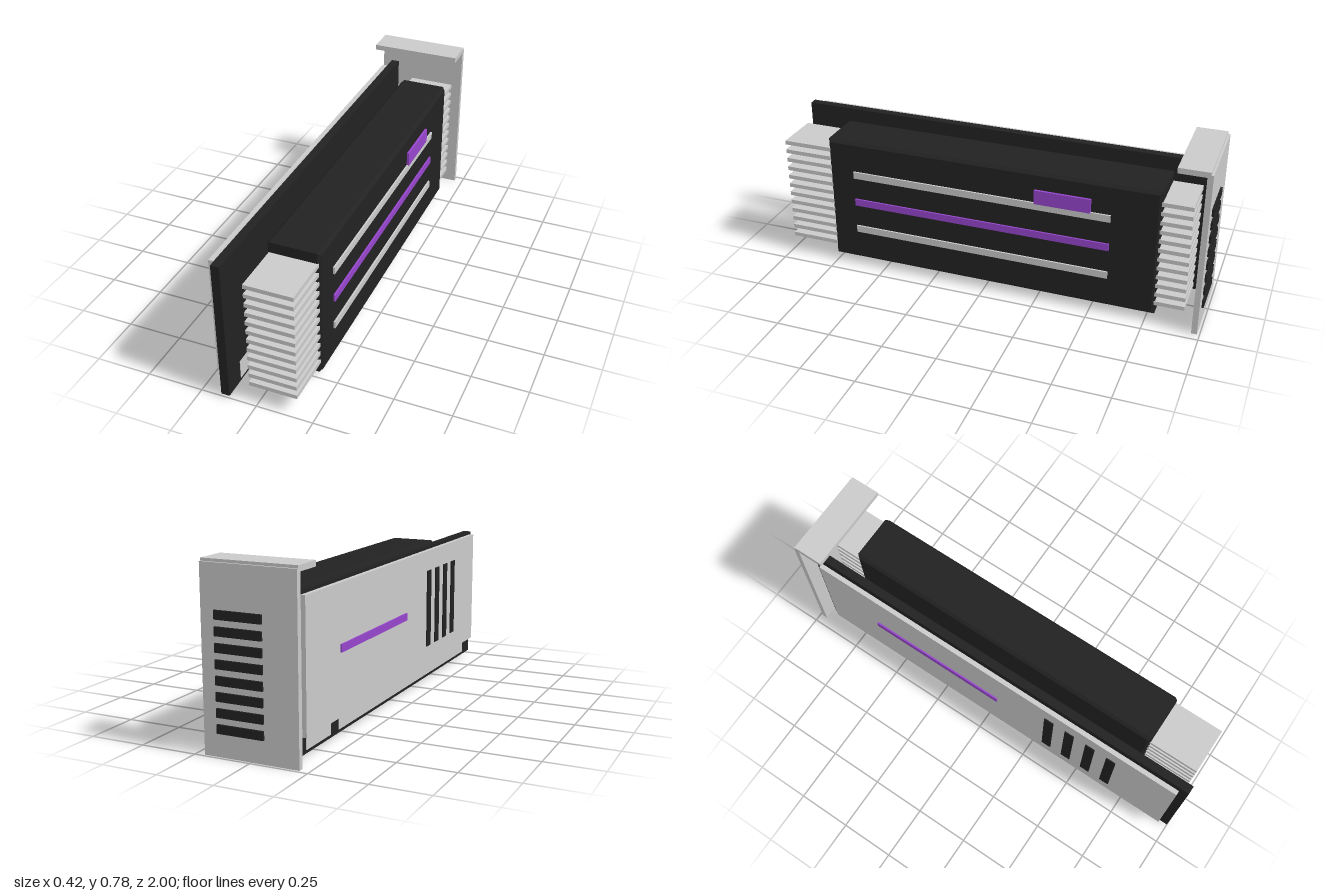
import * as THREE from 'three';

export function createModel() {
  const model = new THREE.Group();
  model.name = 'graphicsCard';

  const material = (name, color) => {
    const m = new THREE.MeshStandardMaterial({ color });
    m.name = name;
    return m;
  };
  const black = material('black plastic', 0x222222);
  const silver = material('silver metal', 0xcacaca);
  const purple = material('purple accent', 0x9645cc);

  // Box given by its [min, max] range on each axis
  const box = (name, mat, [x0, x1], [y0, y1], [z0, z1], parent = model) => {
    const mesh = new THREE.Mesh(new THREE.BoxGeometry(x1 - x0, y1 - y0, z1 - z0), mat);
    mesh.position.set((x0 + x1) / 2, (y0 + y1) / 2, (z0 + z1) / 2);
    mesh.name = name;
    parent.add(mesh);
    return mesh;
  };
  const group = (name) => {
    const g = new THREE.Group();
    g.name = name;
    model.add(g);
    return g;
  };

  // Circuit board with edge contacts on both faces, split by a notch
  box('circuitBoard', black, [-0.158, -0.12], [0.013, 0.66], [-0.94, 1]);
  const contacts = group('edgeContacts');
  for (const range of [[-0.56, 0.9], [-0.84, -0.63]]) {
    box('contactStrip', silver, [-0.16, -0.118], [0.027, 0.115], range, contacts);
  }

  // Backplate with vents and an accent line
  box('backplate', silver, [-0.189, -0.168], [0.095, 0.65], [-0.89, 0.96]);
  const vents = group('backplateVents');
  for (let i = 0; i < 4; i++) {
    const z = 0.338 + i * 0.105;
    box('vent', black, [-0.194, -0.188], [0.188, 0.555], [z - 0.023, z + 0.023], vents);
  }
  box('backplateAccent', purple, [-0.196, -0.188], [0.366, 0.4], [-0.6, 0.065]);

  // Shroud: rectangle extruded across x with chamfered rims
  const bevel = 0.013;
  const [x0, x1, y0, y1, z0, z1] = [-0.048, 0.183, 0.037, 0.637, -0.79, 0.752];
  const outline = new THREE.Shape([
    new THREE.Vector2(-z1 + bevel, y0 + bevel),
    new THREE.Vector2(-z0 - bevel, y0 + bevel),
    new THREE.Vector2(-z0 - bevel, y1 - bevel),
    new THREE.Vector2(-z1 + bevel, y1 - bevel),
  ]);
  const shroudGeometry = new THREE.ExtrudeGeometry(outline, {
    depth: x1 - x0 - 2 * bevel,
    bevelThickness: bevel,
    bevelSize: bevel,
    bevelSegments: 1,
  });
  shroudGeometry.rotateY(Math.PI / 2);
  shroudGeometry.translate(x0 + bevel, 0, 0);
  const shroud = new THREE.Mesh(shroudGeometry, black);
  shroud.name = 'shroud';
  model.add(shroud);

  // Heatsink fins running right through the shroud
  const fins = group('heatsinkFins');
  for (let i = 0; i < 12; i++) {
    const y = 0.093 + i * 0.0443;
    box('fin', silver, [-0.038, 0.175], [y - 0.0095, y + 0.0095], [-0.92, 0.98], fins);
  }

  // Stripes and badge on the shroud face
  const stripes = group('shroudStripes');
  [[0.198, silver], [0.338, purple], [0.478, silver]].forEach(([y, mat]) => {
    box('stripe', mat, [0.182, 0.191], [y - 0.0165, y + 0.0165], [-0.575, 0.63], stripes);
  });
  box('badge', purple, [0.182, 0.194], [0.491, 0.557], [-0.488, -0.235]);

  // Mounting bracket with folded lip and exhaust slots
  box('bracketPlate', silver, [-0.21, 0.21], [0, 0.765], [-0.988, -0.963]);
  box('bracketLip', silver, [-0.21, 0.21], [0.752, 0.777], [-0.978, -0.842]);
  const slots = group('exhaustSlots');
  for (let i = 0; i < 8; i++) {
    const y = 0.116 + i * 0.0643;
    box('slot', black, [-0.06, 0.147], [y - 0.0185, y + 0.0185], [-0.997, -0.987], slots);
  }

  return model;
}
